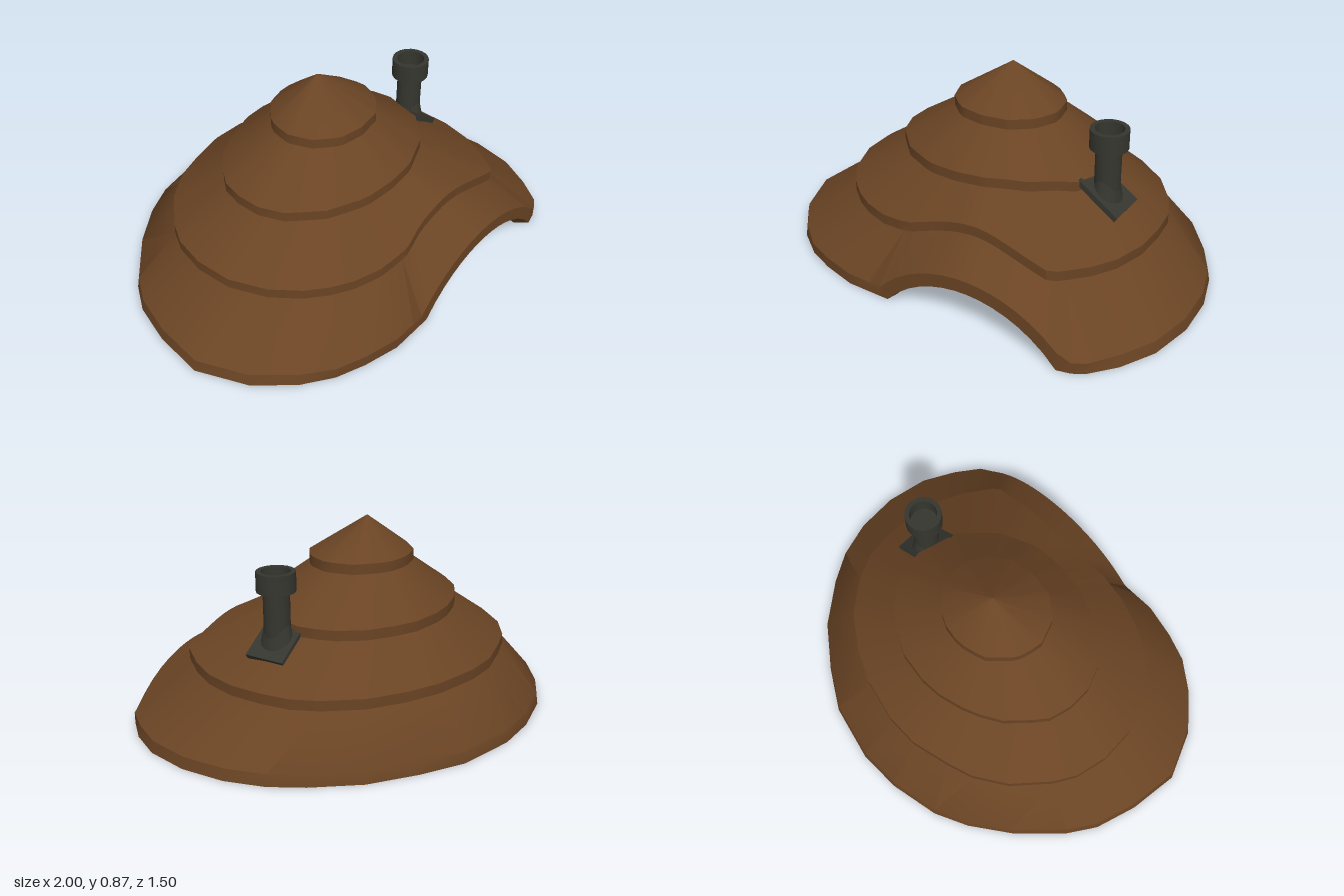
import * as THREE from 'three';
import { toCreasedNormals } from 'three/addons/utils/BufferGeometryUtils.js';

// Eave outlines seen from above as [x, z], from the front round by +x
const eave1 = [[0, .25], [.12, .23], [.21, .16], [.26, .05], [.23, -.08], [.12, -.18], [0, -.2],
  [-.12, -.17], [-.22, -.07], [-.25, .04], [-.21, .15], [-.12, .23]];
const eave2 = [[0, .43], [.13, .42], [.3, .35], [.45, .21], [.51, 0], [.45, -.18], [.35, -.28], [.2, -.36],
  [0, -.39], [-.2, -.34], [-.36, -.25], [-.47, -.11], [-.51, .05], [-.46, .2], [-.33, .33], [-.16, .41]];
const eave3 = [[0, .585], [.2, .585], [.35, .59], [.55, .59], [.65, .46], [.74, .28], [.76, .1], [.73, -.14],
  [.6, -.33], [.46, -.44], [.27, -.53], [.1, -.575], [-.1, -.58], [-.36, -.51], [-.58, -.37], [-.7, -.18],
  [-.75, .03], [-.72, .22], [-.62, .39], [-.45, .53], [-.28, .59], [-.13, .61]];
const eave4 = [[.74, .735], [.79, .705], [.88, .6], [.96, .45], [1, .25], [.99, .05], [.94, -.12], [.86, -.26],
  [.72, -.44], [.54, -.58], [.36, -.69], [.1, -.755], [-.1, -.755], [-.33, -.71], [-.48, -.64], [-.65, -.52],
  [-.83, -.34], [-.91, -.22], [-.97, -.03], [-1, .2], [-.91, .42], [-.78, .57], [-.65, .66], [-.52, .71],
  [-.36, .75], [-.25, .75], [-.19, .75]];

// Doorway arch: an arc of a circle cut in the flat front
const ARCH_X = .265, ARCH_HALF = .415, ARCH_R = .549, ARCH_DROP = .359;
const arc = (x, r) => Math.sqrt(Math.max(0, r * r - (x - ARCH_X) ** 2)) - ARCH_DROP;

// Point where a ray from the centre towards (x, z) meets an outline
function onOutline(outline, x, z) {
  for (let i = 0; i < outline.length; i++) {
    const [ax, az] = outline[i], [bx, bz] = outline[(i + 1) % outline.length];
    const ex = bx - ax, ez = bz - az, det = x * ez - z * ex;
    if (Math.abs(det) < 1e-9) continue;
    const t = (ax * ez - az * ex) / det, s = (ax * z - az * x) / det;
    if (t > 0 && s >= -1e-6 && s <= 1 + 1e-6) return [x * t, z * t];
  }
  return [x, z];
}

// One vertical section: down the outside over the eaves, then back up the inside
function section([x, z]) {
  const p1 = onOutline(eave1, x, z), p2 = onOutline(eave2, x, z), p3 = onOutline(eave3, x, z);
  const front = THREE.MathUtils.smoothstep(z, .3, .65);
  const lift = p => front * Math.exp(-(((p[0] - .2) / .3) ** 2));
  const y2 = .45 + .03 * lift(p2), y3 = .24 + .11 * lift(p3);
  const isFront = z > .6;
  const bottom = isFront ? Math.max(0, arc(x, ARCH_R)) : 0;
  const top = isFront ? Math.max(.05, arc(x, ARCH_R + .06)) : .05;
  const at = (p, y, k = 1) => [p[0] * k, y, p[1] * k];
  const outer = [[0, .865, 0], at(p1, .705), at(p1, .66), at(p2, y2 + .045), at(p2, y2),
    at(p3, y3 + .045), at(p3, y3), at([x, z], top, isFront ? 1 : .99), at([x, z], bottom)];
  const inner = outer.slice(0, 7).reverse().map(([a, y, c]) => [a, y - .05, c]);
  return [...outer, at([x, z], bottom, .93), ...inner];
}

function thatchGeometry() {
  const outline = [];
  const steps = 14;
  for (let i = 0; i <= steps; i++) outline.push([ARCH_X + ARCH_HALF * (2 * i / steps - 1), .75]);
  outline.push(...eave4);
  const columns = outline.map(section);
  const rows = columns[0].length, positions = [];
  columns.forEach((col, i) => {
    const next = columns[(i + 1) % columns.length];
    for (let j = 0; j < rows - 1; j++) {
      if (j > 0) positions.push(...col[j], ...col[j + 1], ...next[j]);
      if (j < rows - 2) positions.push(...next[j], ...col[j + 1], ...next[j + 1]);
    }
  });
  const g = new THREE.BufferGeometry();
  g.setAttribute('position', new THREE.Float32BufferAttribute(positions, 3));
  return toCreasedNormals(g, .6);
}

export function createModel() {
  const thatch = new THREE.MeshStandardMaterial({ color: 0x6a4424 });
  thatch.name = 'brown thatch';
  const iron = new THREE.MeshStandardMaterial({ color: 0x363630 });
  iron.name = 'dark iron';

  const model = new THREE.Group();
  model.name = 'thatchedRoof';
  const add = (name, geometry, material, parent) => {
    const mesh = new THREE.Mesh(geometry, material);
    mesh.name = name;
    parent.add(mesh);
    return mesh;
  };

  // Four-tiered hollow roof
  add('thatch', thatchGeometry(), thatch, model);

  // Chimney on the left slope
  const chimney = new THREE.Group();
  chimney.name = 'chimney';
  chimney.position.set(.535, 0, .105);
  model.add(chimney);

  // Pipe with a wider, hollow cap
  const profile = [[.056, .42], [.056, .645], [.083, .645], [.083, .73], [.062, .73], [.062, .66], [0, .66]]
    .map(([r, y]) => new THREE.Vector2(r, y));
  add('pipeAndCap', toCreasedNormals(new THREE.LatheGeometry(profile, 20), .6), iron, chimney);

  // Flared foot and the flashing plate lying on the slope
  const foot = add('flaredFoot', new THREE.CylinderGeometry(.056, .088, .14, 20), iron, chimney);
  foot.position.y = .435;
  foot.scale.x = .82;
  const plate = add('flashingPlate', new THREE.BoxGeometry(.225, .025, .185), iron, chimney);
  plate.position.y = .432;
  plate.rotation.z = -.6;

  return model;
}
